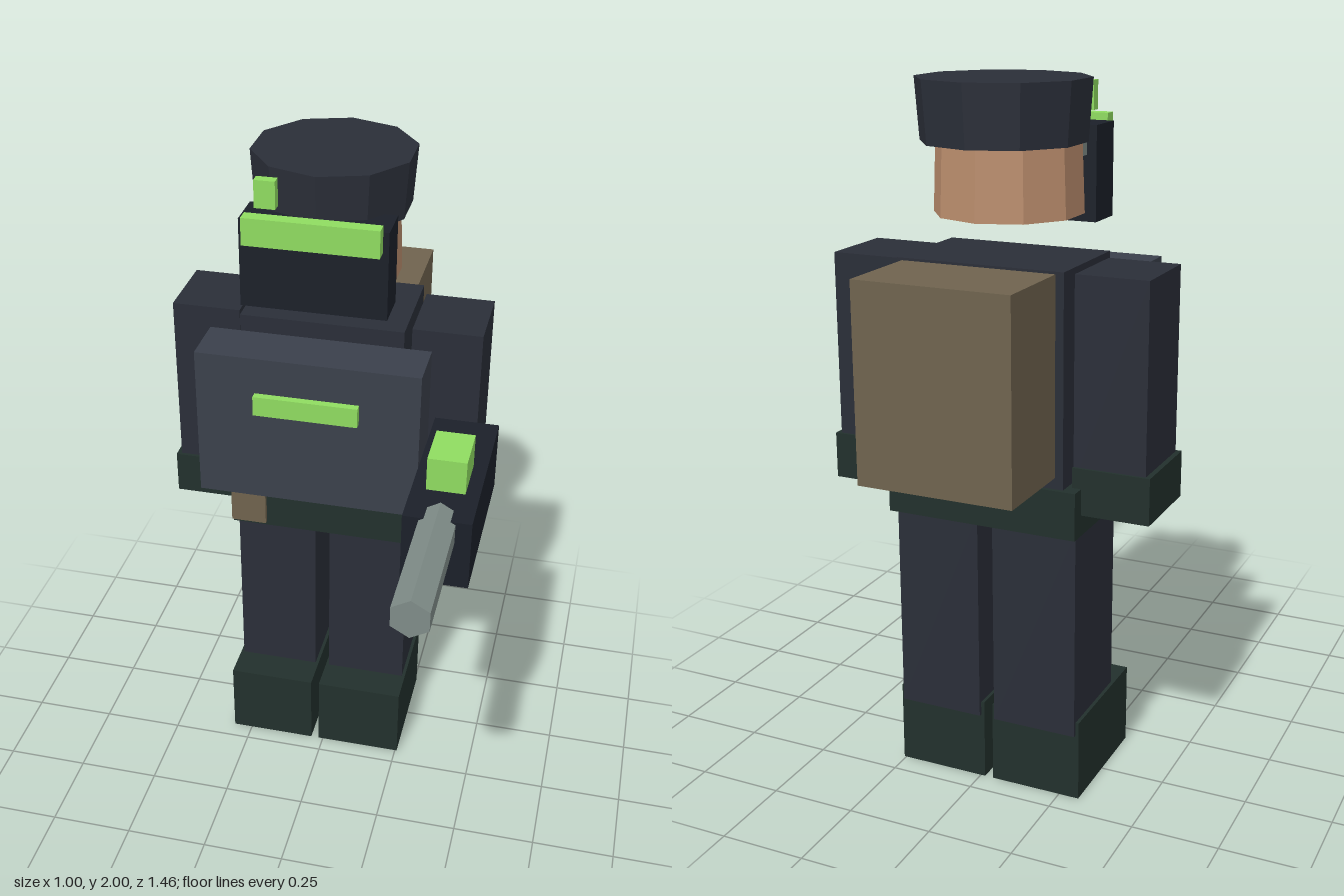
import * as THREE from 'three';

const mat = (color) => new THREE.MeshStandardMaterial({ color, flatShading: true });

export function createModel() {
  const model = new THREE.Group();
  const cloth = mat(0x2a2e38), dark = mat(0x1b2029), rubber = mat(0x22302c);
  const armor = mat(0x3a404b), glow = mat(0x8fdc60), canvas = mat(0x6f634e);
  const skin = mat(0xb98c6c), steel = mat(0x7f8c88);

  const add = (name, geometry, material, x, y, z) => {
    const mesh = new THREE.Mesh(geometry, material);
    mesh.name = name;
    mesh.position.set(x, y, z);
    model.add(mesh);
    return mesh;
  };
  // Box given by its [min, max] range on each axis
  const box = (name, material, [x0, x1], [y0, y1], [z0, z1]) =>
    add(name, new THREE.BoxGeometry(x1 - x0, y1 - y0, z1 - z0), material,
      (x0 + x1) / 2, (y0 + y1) / 2, (z0 + z1) / 2);

  // The body's midline sits slightly to the right because of the held gun
  const mid = -0.027;
  for (const [side, s] of [['left', 1], ['right', -1]]) {
    const limb = (name, material, cx, w, y, z) =>
      box(side + name, material, [mid + s * cx - w / 2, mid + s * cx + w / 2], y, z);
    limb('Leg', cloth, 0.148, 0.25, [0.2, 0.82], [-0.44, -0.16]);
    limb('Boot', rubber, 0.148, 0.27, [0, 0.24], [-0.43, -0.055]);
    limb('Arm', cloth, 0.36, 0.205, [0.95, 1.52], [-0.42, -0.185]);
    limb('Glove', rubber, 0.367, 0.22, [0.865, 0.997], [-0.428, -0.175]);
  }

  // Torso, belt and gear
  box('torso', cloth, [-0.27, 0.216], [0.9, 1.53], [-0.457, -0.14]);
  box('belt', rubber, [-0.31, 0.256], [0.805, 0.94], [-0.47, -0.13]);
  box('vestBacking', steel, [-0.29, 0.235], [0.94, 1.46], [-0.155, -0.11]);
  box('chestPlate', armor, [-0.355, 0.3], [1.03, 1.49], [-0.12, 0.04]);
  box('chestLight', glow, [-0.18, 0.125], [1.32, 1.38], [0.03, 0.063]);
  box('backpack', canvas, [-0.25, 0.197], [0.975, 1.525], [-0.73, -0.465]);
  box('beltPouch', canvas, [-0.31, -0.2], [0.82, 0.97], [-0.21, -0.115]);

  // Head, mask and cap
  add('head', new THREE.CylinderGeometry(0.195, 0.205, 0.26, 10), skin, mid, 1.77, -0.27);
  add('helmet', new THREE.CylinderGeometry(0.237, 0.225, 0.167, 10), cloth, mid, 1.9165, -0.3);
  box('mask', dark, [-0.238, 0.182], [1.61, 1.87], [-0.167, -0.045]);
  box('maskLens', steel, [-0.21, 0.15], [1.79, 1.865], [-0.195, -0.15]);
  box('visor', glow, [-0.22, 0.165], [1.81, 1.89], [-0.045, -0.005]);
  box('helmetLamp', glow, [-0.195, -0.135], [1.9, 1.98], [-0.085, -0.055]);

  // Gun
  box('gunBody', dark, [0.31, 0.5], [1.03, 1.24], [-0.18, 0.345]);
  box('gunSight', glow, [0.35, 0.46], [1.24, 1.34], [0.055, 0.205]);
  const barrel = add('barrel', new THREE.CylinderGeometry(0.058, 0.058, 0.44, 6), steel,
    0.405, 1.203, 0.51);
  barrel.rotation.x = Math.PI / 2;

  return model;
}
